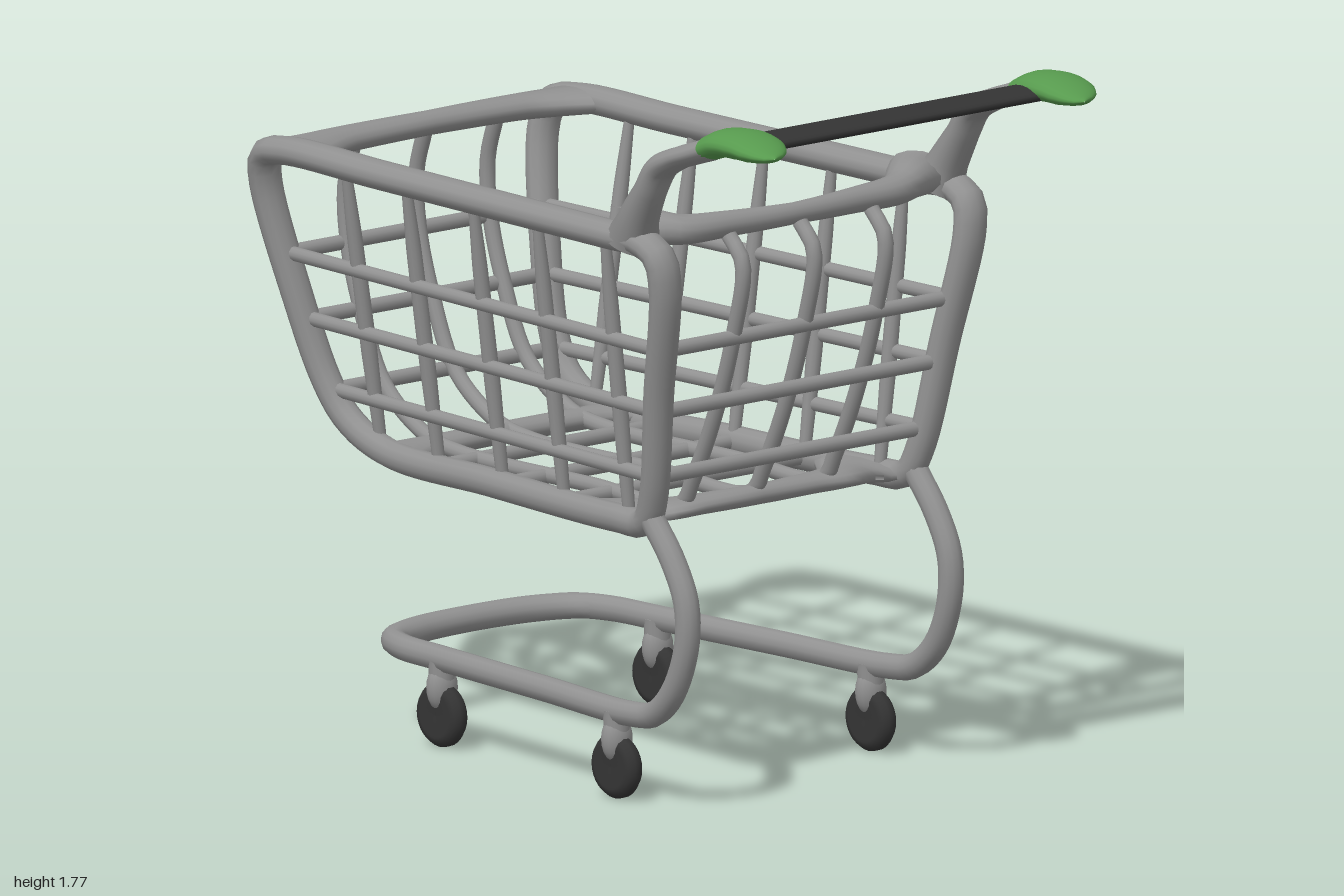
import * as THREE from 'three';

const steel = new THREE.MeshStandardMaterial({ color: 0x919191 });
steel.name = 'grey steel';
const dark = new THREE.MeshStandardMaterial({ color: 0x343434 });
dark.name = 'dark rubber';
const green = new THREE.MeshStandardMaterial({ color: 0x579a4e });
green.name = 'green plastic';

// Smooth bar through points [x, y, z, rx, ry, rz]; the radii vary along the bar.
function bar(name, pts, { r = 0.018, mat = steel, segs = 24, radial = 12, closed = false } = {}) {
  const curve = new THREE.CatmullRomCurve3(pts.map(p => new THREE.Vector3(p[0], p[1], p[2])), closed, 'centripetal');
  const radii = pts.map(p => new THREE.Vector3(p[3] ?? r, p[4] ?? p[3] ?? r, p[5] ?? p[3] ?? r));
  const geo = new THREE.TubeGeometry(curve, segs, 1, radial, closed);
  const pos = geo.attributes.position, nor = geo.attributes.normal;
  const n = pts.length, v = new THREE.Vector3(), s = new THREE.Vector3();
  for (let i = 0; i <= segs; i++) {
    const u = i / segs, c = curve.getPointAt(u);
    const t = curve.getUtoTmapping(u) * (closed ? n : n - 1);
    const k = Math.min(Math.floor(t), closed ? n - 1 : n - 2);
    s.lerpVectors(radii[k], radii[(k + 1) % n], t - k);
    for (let j = 0; j <= radial; j++) {
      const id = i * (radial + 1) + j;
      v.fromBufferAttribute(pos, id).sub(c).multiply(s).add(c);
      pos.setXYZ(id, v.x, v.y, v.z);
      v.fromBufferAttribute(nor, id).divide(s).normalize();
      nor.setXYZ(id, v.x, v.y, v.z);
    }
  }
  const mesh = new THREE.Mesh(geo, mat);
  mesh.name = name;
  return mesh;
}

// Half width of the basket: narrower towards the bottom and the rear.
function sideX(y, z) {
  const h = (y - 0.7) / 0.73, d = (0.5 - z) / 1.45;
  return THREE.MathUtils.lerp(0.425 - 0.09 * d, 0.5 - 0.035 * d, h);
}

// Cross beam along x, mirrored from half-profile points given from the middle outwards.
function beam(name, half) {
  const left = half.slice(1).reverse().map(([x, ...rest]) => [-x, ...rest]);
  return bar(name, [...left, ...half], { segs: 40, radial: 14 });
}

export function createModel() {
  const cart = new THREE.Group();
  cart.name = 'shoppingCart';
  const add = m => cart.add(m);

  // Side outline of the basket as [z, y]
  const outline = [[0.4, 1.43], [0, 1.43], [-0.5, 1.43], [-0.86, 1.43], [-0.94, 1.41], [-0.96, 1.34],
    [-0.895, 1.05], [-0.825, 0.85], [-0.76, 0.765], [-0.62, 0.705], [-0.2, 0.7], [0.3, 0.7],
    [0.42, 0.71], [0.46, 0.78], [0.515, 1.05], [0.573, 1.33], [0.56, 1.4], [0.5, 1.43]];
  const rows = [[1.16, 0.53, -0.915], [1.0, 0.502, -0.87], [0.83, 0.468, -0.8]];
  const ribs = [0.34, 0.08, -0.165, -0.42, -0.65];

  for (const s of [-1, 1]) {
    // Basket side frame
    add(bar('sideFrame', outline.map(([z, y]) => {
      const w = 0.036 + 0.01 * (y - 0.7) / 0.73;
      return [s * sideX(y, z), y, z, w, 0.036, 0.036];
    }), { segs: 130, closed: true }));

    // Side wires
    for (const [y, zf, zr] of rows)
      add(bar('sideWire', [zf, 0, zr].map(z => [s * (sideX(y, z) - 0.005), y, z])));
    for (const z of ribs) {
      const low = z < -0.6 ? 0.72 : 0.69;
      add(bar('sideRib', [[1.41, 0.013], [1.25, 0.019], [0.95, 0.02], [low, 0.015]]
        .map(([y, r]) => [s * (sideX(y, z) - 0.012), y, z, r])));
    }

    // Leg running into the base rail
    add(bar('leg', [[0.425, 0.72, 0.45], [0.425, 0.63, 0.525], [0.425, 0.53, 0.575], [0.425, 0.42, 0.575],
      [0.425, 0.3, 0.525], [0.42, 0.235, 0.45], [0.415, 0.22, 0.36], [0.385, 0.22, 0], [0.35, 0.22, -0.42],
      [0.335, 0.22, -0.58], [0.29, 0.22, -0.665], [0.2, 0.22, -0.7], [0, 0.22, -0.72]]
      .map(([x, y, z]) => [s * x, y, z, 0.032]), { segs: 80 }));

    // Handle arm and its green end cap
    add(bar('handleArm', [[0.49, 1.42, 0.45, 0.055, 0.05, 0.09], [0.5, 1.49, 0.485, 0.052, 0.05, 0.05],
      [0.505, 1.57, 0.535, 0.047, 0.04, 0.034], [0.505, 1.63, 0.575, 0.048, 0.034, 0.034],
      [0.505, 1.665, 0.64, 0.05, 0.028, 0.03], [0.505, 1.69, 0.71, 0.055, 0.028, 0.03],
      [0.503, 1.715, 0.78, 0.06, 0.03, 0.03]].map(([x, ...p]) => [s * x, ...p]), { segs: 36, radial: 16 }));
    add(bar('handleCap', [[0.503, 1.715, 0.77, 0.062, 0.032, 0.03], [0.502, 1.733, 0.82, 0.074, 0.036, 0.03],
      [0.5, 1.738, 0.89, 0.081, 0.035, 0.03], [0.5, 1.732, 0.94, 0.075, 0.029, 0.03],
      [0.5, 1.725, 0.97, 0.056, 0.02, 0.02], [0.5, 1.72, 0.985, 0.03, 0.012, 0.01],
      [0.5, 1.718, 0.99, 0.001, 0.001, 0.001]].map(([x, ...p]) => [s * x, ...p]),
      { segs: 36, radial: 20, mat: green }));

    // Casters
    for (const [x, z] of [[0.41, 0.3], [0.348, -0.42]]) {
      const caster = new THREE.Group();
      caster.name = 'caster';
      caster.position.set(s * x, 0, z);
      const profile = [[0, -0.022], [0.055, -0.026], [0.07, -0.021], [0.08, -0.008], [0.08, 0.008],
        [0.07, 0.021], [0.055, 0.026], [0, 0.022]].map(p => new THREE.Vector2(...p));
      const wheel = new THREE.Mesh(new THREE.LatheGeometry(profile, 28), dark);
      wheel.name = 'wheel';
      wheel.rotation.z = Math.PI / 2;
      wheel.position.y = 0.08;
      const fork = new THREE.Mesh(new THREE.SphereGeometry(1, 16, 12), steel);
      fork.name = 'fork';
      fork.scale.set(0.042, 0.06, 0.035);
      fork.position.y = 0.148;
      const stem = new THREE.Mesh(new THREE.CylinderGeometry(0.034, 0.032, 0.07, 14), steel);
      stem.name = 'stem';
      stem.position.y = 0.185;
      caster.add(wheel, fork, stem);
      add(caster);
    }
  }

  // Handle grip
  const grip = new THREE.Mesh(new THREE.CylinderGeometry(1, 1, 0.9, 20), dark);
  grip.name = 'handleGrip';
  grip.rotation.z = Math.PI / 2;
  grip.scale.set(0.02, 1, 0.06);
  grip.position.set(0, 1.725, 0.845);
  add(grip);

  // Cross beams widening into corner gussets
  add(beam('frontTopBeam', [[0, 1.43, 0.487, 0.03, 0.027, 0.025], [0.2, 1.432, 0.478, 0.03, 0.032, 0.034],
    [0.35, 1.436, 0.465, 0.03, 0.038, 0.048], [0.42, 1.448, 0.435, 0.03, 0.046, 0.085],
    [0.49, 1.45, 0.4, 0.03, 0.05, 0.12]]));
  add(beam('rearTopBeam', [[0, 1.43, -0.873, 0.03, 0.03, 0.038], [0.28, 1.43, -0.865, 0.03, 0.032, 0.05],
    [0.37, 1.43, -0.85, 0.03, 0.032, 0.075], [0.46, 1.43, -0.83, 0.03, 0.032, 0.11]]));
  add(beam('frontBottomBeam', [[0, 0.705, 0.345, 0.03, 0.025, 0.03], [0.18, 0.705, 0.335, 0.03, 0.025, 0.045],
    [0.28, 0.705, 0.325, 0.03, 0.025, 0.07], [0.35, 0.705, 0.29, 0.03, 0.025, 0.13],
    [0.41, 0.705, 0.28, 0.03, 0.025, 0.16]]));
  add(beam('rearBottomBeam', [[0, 0.708, -0.58, 0.03, 0.027, 0.034], [0.25, 0.708, -0.575, 0.03, 0.027, 0.042],
    [0.31, 0.708, -0.57, 0.03, 0.027, 0.06], [0.36, 0.708, -0.56, 0.03, 0.027, 0.085]]));
  add(beam('rearBaseBeam', [[0, 0.22, -0.718, 0.03, 0.033, 0.036], [0.18, 0.22, -0.703, 0.03, 0.033, 0.04],
    [0.28, 0.22, -0.665, 0.03, 0.032, 0.045], [0.33, 0.22, -0.61, 0.02, 0.03, 0.04]]));

  // Front and rear wires
  for (const [y, zf, zr] of rows)
    for (const [name, z] of [['frontWire', zf], ['rearWire', zr]]) {
      const x = sideX(y, z);
      add(bar(name, [[-x, y, z], [0, y, z], [x, y, z]], { r: 0.019 }));
    }

  // Lengthwise ribs: down the front, along the floor and up the rear
  for (const x of [-0.23, 0, 0.23])
    add(bar('lengthRib', [[1.41, 0.51], [1.35, 0.56], [1.16, 0.525], [0.95, 0.455], [0.78, 0.375], [0.71, 0.33],
      [0.705, 0], [0.705, -0.5], [0.73, -0.62], [0.83, -0.77], [1.0, -0.855], [1.16, -0.905], [1.3, -0.915],
      [1.42, -0.88]].map(([y, z]) => [x, y, z]), { r: 0.02, segs: 80 }));

  // Floor cross wires
  for (const z of ribs.slice(1, 4)) {
    const x = sideX(0.7, z);
    add(bar('floorWire', [[-x, 0.7, z], [0, 0.7, z], [x, 0.7, z]], { r: 0.019 }));
  }

  return cart;
}
